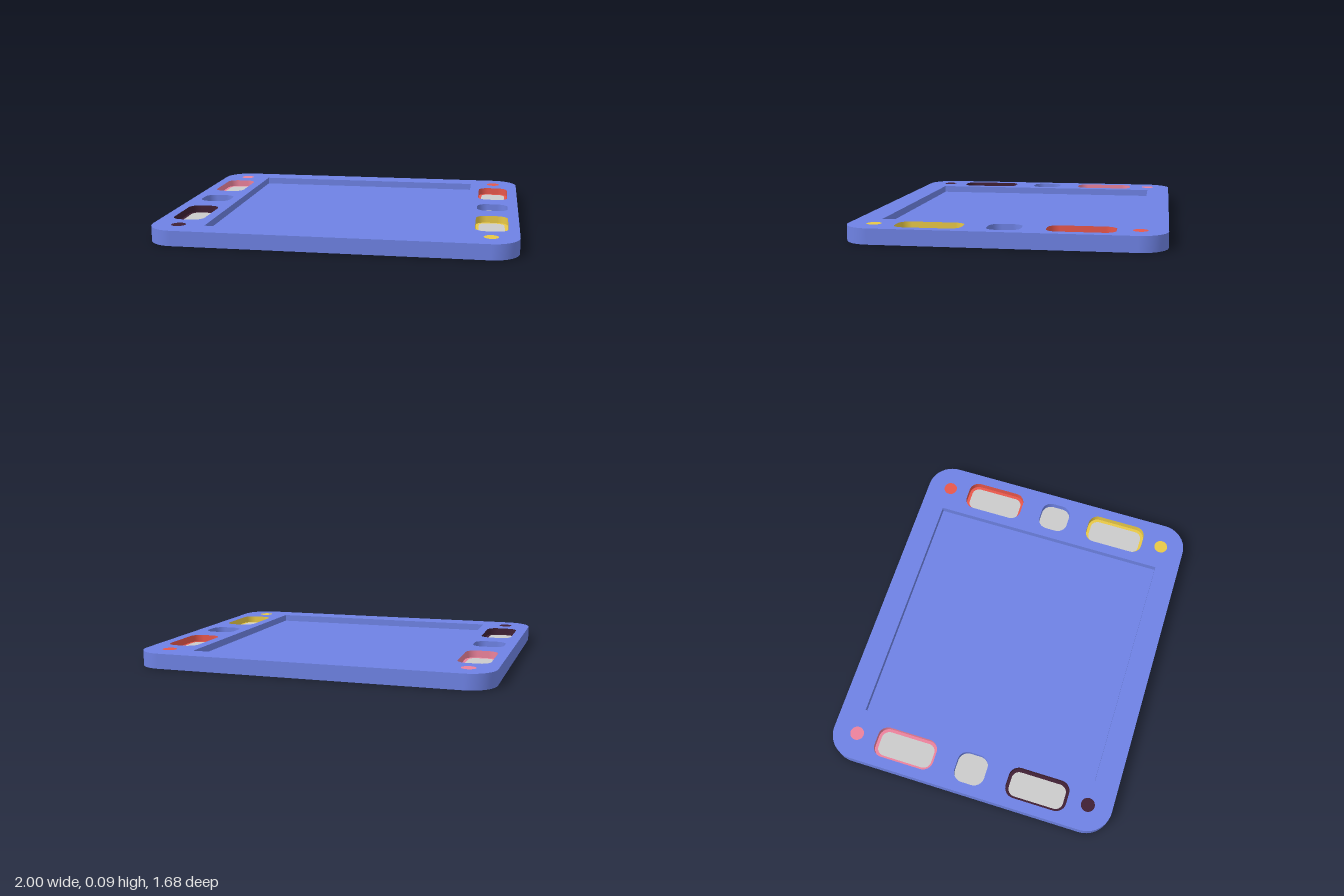
import * as THREE from 'three';

const TOP = 0.085, FLOOR = 0.045;

const paint = (color, flatShading = false) =>
  new THREE.MeshStandardMaterial({ color, flatShading, side: THREE.DoubleSide });

// Counter-clockwise rounded rectangle; x and z are its centre on the plate
function outline(x, z, w, d, r) {
  const pts = [];
  const steps = r > 0 ? 10 : 0;
  const corners = [[1, 1], [-1, 1], [-1, -1], [1, -1]];
  corners.forEach(([sx, sy], k) => {
    for (let i = 0; i <= steps; i++) {
      const a = (k + (steps ? i / steps : 0)) * Math.PI / 2;
      pts.push(new THREE.Vector2(
        x + sx * (w / 2 - r) + r * Math.cos(a),
        -z + sy * (d / 2 - r) + r * Math.sin(a)));
    }
  });
  return pts;
}

// Flat horizontal sheet, with optional holes
function sheet(name, pts, y, material, holes = []) {
  const shape = new THREE.Shape(pts);
  shape.holes = holes.map((h) => new THREE.Path(h.slice().reverse()));
  const mesh = new THREE.Mesh(new THREE.ShapeGeometry(shape).rotateX(-Math.PI / 2), material);
  mesh.position.y = y;
  mesh.name = name;
  return mesh;
}

// Upright band following a closed outline
function wall(name, pts, y0, y1, material) {
  const pos = [], idx = [], n = pts.length;
  pts.forEach((p, i) => {
    pos.push(p.x, y0, -p.y, p.x, y1, -p.y);
    const a = 2 * i, b = 2 * ((i + 1) % n);
    idx.push(a, b, b + 1, a, b + 1, a + 1);
  });
  const geo = new THREE.BufferGeometry();
  geo.setAttribute('position', new THREE.Float32BufferAttribute(pos, 3));
  geo.setIndex(idx);
  geo.computeVertexNormals();
  const mesh = new THREE.Mesh(geo, material);
  mesh.name = name;
  return mesh;
}

export function createModel() {
  const model = new THREE.Group();
  model.name = 'gameBoard';
  const blue = paint(0x6e82e4), grey = paint(0xcccccc);
  const holes = [];

  // Corner players: a long pocket with a coloured lining and a marker dot
  const players = [
    ['backRight', -1, -1, 0xec829c],
    ['backLeft', 1, -1, 0xe8574b],
    ['frontRight', -1, 1, 0x402034],
    ['frontLeft', 1, 1, 0xe8c846],
  ];
  for (const [side, sx, sz, color] of players) {
    const x = sx * 0.85, z = sz * 0.4, tint = paint(color);
    const edge = outline(x, z, 0.18, 0.36, 0.06);
    const inner = outline(x, z, 0.145, 0.325, 0.045);
    holes.push(edge);
    const pocket = new THREE.Group();
    pocket.name = side + 'Pocket';
    pocket.add(
      wall('pocketWall', edge, FLOOR, TOP, tint),
      sheet('pocketBorder', edge, FLOOR, tint, [inner]),
      sheet('pocketFloor', inner, FLOOR, grey));
    const dot = new THREE.Mesh(new THREE.CircleGeometry(0.04, 32).rotateX(-Math.PI / 2), tint);
    dot.position.set(x, TOP + 0.001, sz * 0.7);
    dot.name = side + 'Dot';
    model.add(pocket, dot);
  }

  // Small plain pockets halfway along each side
  for (const sx of [-1, 1]) {
    const edge = outline(sx * 0.85, 0, 0.18, 0.18, 0.06);
    holes.push(edge);
    const pocket = new THREE.Group();
    pocket.name = sx > 0 ? 'leftSmallPocket' : 'rightSmallPocket';
    pocket.add(wall('pocketWall', edge, FLOOR, TOP, blue), sheet('pocketFloor', edge, FLOOR, grey));
    model.add(pocket);
  }

  // Sunken square playing field
  const field = outline(0, 0, 1.405, 1.405, 0);
  holes.push(field);
  model.add(
    wall('fieldWall', field, FLOOR, TOP, paint(0x6e82e4, true)),
    sheet('fieldFloor', field, FLOOR, blue));

  // Thin outer shell, open underneath
  const rim = outline(0, 0, 2, 1.684, 0.15);
  model.add(wall('outerWall', rim, 0, TOP, blue), sheet('topPlate', rim, TOP, blue, holes));
  return model;
}
